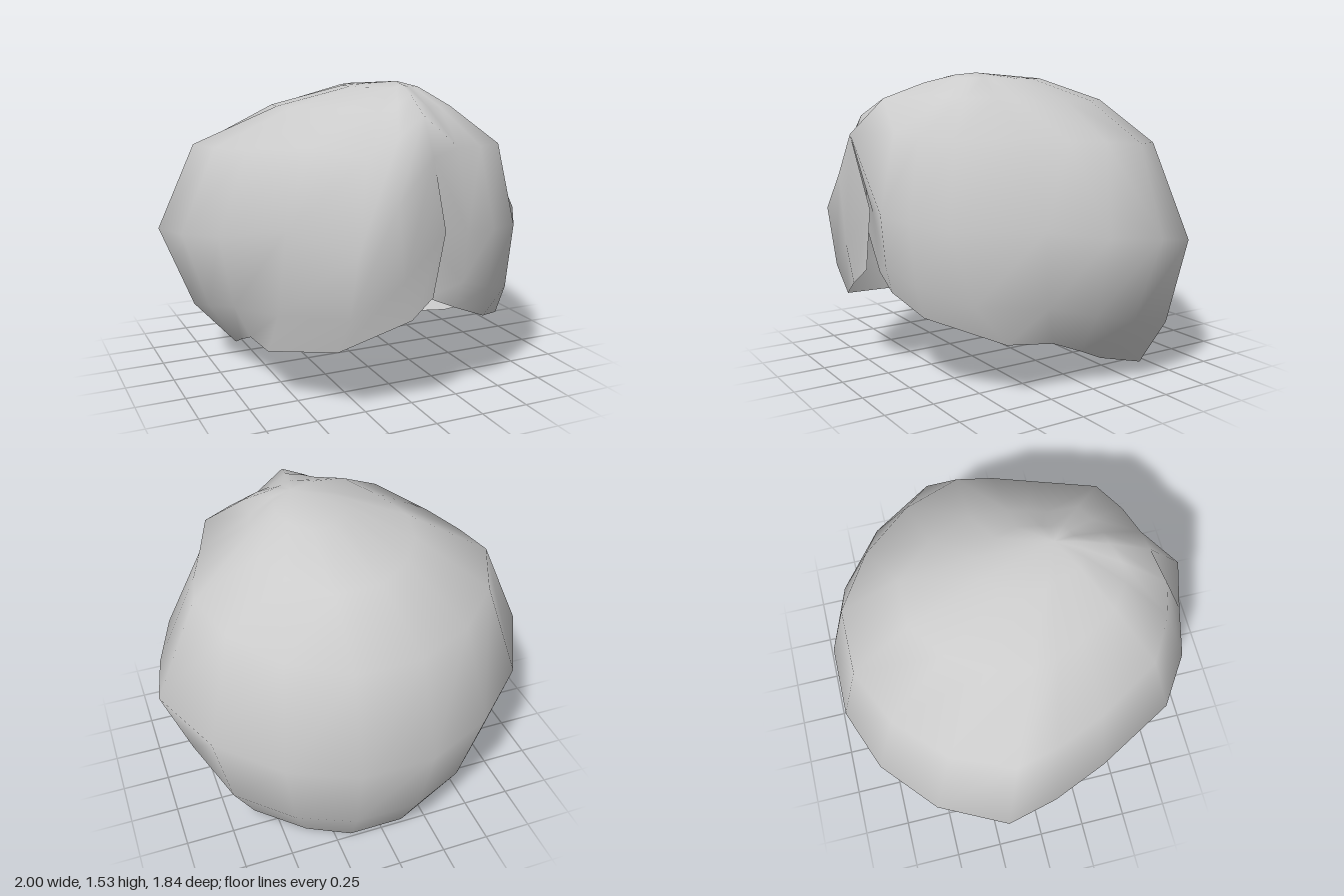
import * as THREE from 'three';
import { mergeVertices } from 'three/addons/utils/BufferGeometryUtils.js';

const lerp = THREE.MathUtils.lerp;
const APEX = [0.13, 1.53, 0.29];

// Dome rings: share of the height from widest point to apex,
// and the share of the radius left at each ring, by direction.
const RISE = [0.58, 0.835, 0.965];
const LEFT = [0.71, 0.31, 0.13];
const RIGHT = [0.84, 0.49, 0.19];
const BACK = [0.89, 0.63, 0.31];
const FRONT = [0.85, 0.45, 0.18];
const SEAM = [0.74, 0.42, 0.17];

// Columns run from the fringe seam around the right side, back and left side,
// then tuck under the fringe. Each: widest x,y,z, hem x,y,z, dome radii
// and, along the parting, its own point on the wall.
const fringe = [
  [0, 1.24, 0.92, 0.04, 0.57, 0.87, SEAM, [0.1, 0.88, 0.87]],
  [-0.17, 1.03, 0.915, -0.08, 0.48, 0.89, [0.83, 0.48, 0.2]],
  [-0.36, 0.83, 0.91, -0.41, 0.34, 0.79, [0.8, 0.48, 0.2]],
  [-0.63, 0.92, 0.72, -0.64, 0.27, 0.47, [0.82, 0.48, 0.2]],
];
const side = [
  [-0.83, 0.83, 0.34, -0.64, 0.25, 0.2],
  [-0.94, 0.79, 0.06, -0.64, 0.18, 0.03],
  [-1, 0.77, -0.2, -0.63, 0.12, -0.1],
  [-0.82, 0.7, -0.54, -0.56, 0.02, -0.42],
  [-0.53, 0.65, -0.79, -0.33, 0, -0.62],
  [-0.19, 0.62, -0.92, -0.12, 0.01, -0.74],
];
const front = [
  [0.59, 0.83, 0.7, 0.67, 0.28, 0.45, FRONT],
  [0.4, 0.85, 0.81, 0.4, 0.39, 0.74, FRONT],
  [0.22, 0.87, 0.87, 0.2, 0.48, 0.81, FRONT],
  [0, 1.24, 0.92, 0.04, 0.55, 0.8, SEAM, [0.02, 0.85, 0.82]],
  [0, 1.24, 0.92, -0.2, 0.7, 0.75, SEAM, [-0.15, 0.95, 0.78]],
];

// Blend a side's dome radii towards the back
function sideRadii(from, i) {
  const k = Math.max(0, (i - 2) / 3);
  return from.map((r, j) => lerp(r, BACK[j], k));
}

export function createModel() {
  const rightSide = side.map((c, i) => [...c, sideRadii(RIGHT, i)]);
  const leftSide = side
    .map(([x, y, z, ex, ey, ez], i) => [-x, y, z, 0.05 - ex, ey, ez, sideRadii(LEFT, i)])
    .reverse();
  const columns = [...fringe, ...rightSide, ...leftSide, ...front];
  const rows = 4 + RISE.length;
  const positions = [];
  const index = [];

  for (const [x, y, z, ex, ey, ez, radii, wall] of columns) {
    // hem, rounded lower wall, widest point
    positions.push(ex, ey, ez);
    positions.push(...(wall ?? [lerp(x, ex, 0.44), lerp(y, ey, 0.65), lerp(z, ez, 0.42)]));
    positions.push(x, y, z);
    // dome
    RISE.forEach((rise, j) => {
      positions.push(
        lerp(APEX[0], x, radii[j]),
        lerp(y, APEX[1], rise),
        lerp(APEX[2], z, radii[j])
      );
    });
    positions.push(...APEX);
  }

  for (let i = 0; i < columns.length - 1; i++) {
    for (let j = 0; j < rows - 1; j++) {
      const a = i * rows + j;
      const b = a + rows;
      index.push(a, a + 1, b);
      if (j < rows - 2) index.push(b, a + 1, b + 1);
    }
  }

  // merging joins the tucked columns to the fringe above the parting
  let geometry = new THREE.BufferGeometry();
  geometry.setAttribute('position', new THREE.Float32BufferAttribute(positions, 3));
  geometry.setIndex(index);
  geometry = mergeVertices(geometry, 1e-4);
  geometry.computeVertexNormals();

  const hair = new THREE.Mesh(
    geometry,
    new THREE.MeshStandardMaterial({ color: 0xcccccc, side: THREE.DoubleSide })
  );
  hair.name = 'hairCap';
  const model = new THREE.Group();
  model.name = 'hair';
  model.add(hair);
  return model;
}
